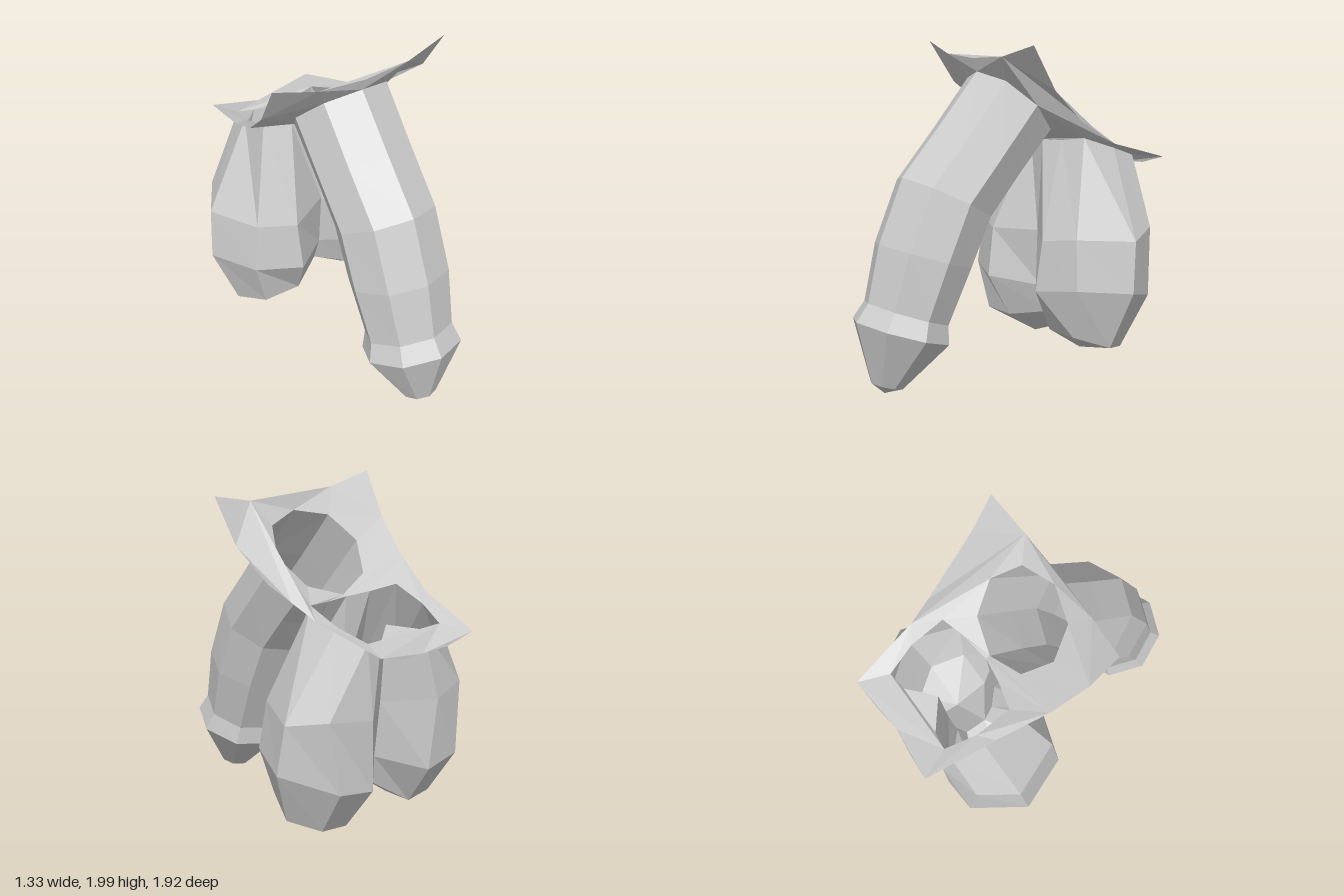
import * as THREE from 'three';

const V = (x, y, z) => new THREE.Vector3(x, y, z);
const material = new THREE.MeshStandardMaterial({ color: 0xcccccc, flatShading: true, side: THREE.DoubleSide });

// Piecewise linear lookup through [key, value] pairs with falling keys
function lerpTable(table, k) {
  let i = 0;
  while (i < table.length - 2 && k < table[i + 1][0]) i++;
  const [k0, v0] = table[i], [k1, v1] = table[i + 1];
  return v0 + ((k - k0) / (k1 - k0)) * (v1 - v0);
}

// Skin height: a centre line and a higher side line, blended across x
const centreLine = [[0.19, 1.9], [0.155, 1.81], [-0.06, 1.61], [-0.28, 1.41], [-0.4, 1.385], [-0.635, 1.32], [-0.925, 1.23]];
const sideLine = [[0.16, 2.0], [-0.01, 1.73], [-0.23, 1.55], [-0.53, 1.4], [-0.96, 1.29]];
const sideX = [[0.16, 0.57], [-0.23, 0.5], [-0.53, 0.42], [-0.96, 0.345]];
function skinHeight(x, z) {
  const t = (x / lerpTable(sideX, z)) ** 2;
  return lerpTable(centreLine, z) * (1 - t) + lerpTable(sideLine, z) * t;
}

// Half a ring (front to back on +x) closed by its mirror image
const mirrorRing = half => [...half, ...half.slice(1, -1).reverse().map(p => V(-p.x, p.y, p.z))];

// Triangles joining successive closed rings, top to bottom
function loft(rings) {
  const tris = [];
  for (let r = 0; r < rings.length - 1; r++) {
    const a = rings[r], b = rings[r + 1], n = a.length;
    for (let j = 0; j < n; j++) {
      const k = (j + 1) % n;
      tris.push(a[j], b[j], b[k], a[j], b[k], a[k]);
    }
  }
  return tris;
}

// Triangles closing a polygon to one point
const fan = (ring, apex) => ring.flatMap((p, j) => [p, apex, ring[(j + 1) % ring.length]]);

function meshFrom(name, tris) {
  const geometry = new THREE.BufferGeometry().setFromPoints(tris);
  geometry.computeVertexNormals();
  const mesh = new THREE.Mesh(geometry, material);
  mesh.name = name;
  return mesh;
}

// Eight-sided ring from its front and back points (z, y) and half width
function octagon([fz, fy, bz, by, rx]) {
  return Array.from({ length: 8 }, (_, i) => {
    const a = (i * Math.PI) / 4, c = Math.cos(a);
    return V(rx * Math.sin(a), (fy + by) / 2 + (c * (fy - by)) / 2, (fz + bz) / 2 + (c * (fz - bz)) / 2);
  });
}

export function createModel() {
  const model = new THREE.Group();
  model.name = 'anatomicalModel';

  // Shaft: curved octagonal tube with a flared, tapering end
  const shaftRings = [
    [0.16, 1.81, -0.28, 1.41, 0.3],
    [0.41, 1.525, -0.05, 1.17, 0.3],
    [0.657, 1.24, 0.12, 0.965, 0.3],
    [0.81, 0.87, 0.25, 0.69, 0.3],
    [0.885, 0.54, 0.4, 0.37, 0.265],
    [0.96, 0.44, 0.4, 0.26, 0.3],
    [0.87, 0.07, 0.68, 0.02, 0.1],
  ].map(octagon);
  shaftRings[0].forEach(p => { p.y = skinHeight(p.x, p.z); });
  model.add(meshFrom('shaft', loft(shaftRings.slice(0, 6))));
  model.add(meshFrom('shaftTip', [...loft(shaftRings.slice(5)), ...fan(shaftRings[6], V(0, 0, 0.79))]));

  // Sac: two lobes joined by a cleft, each half ring running front to back
  const sacTop = [[0, -0.305], [0.16, -0.33], [0.325, -0.375], [0.325, -0.595], [0.27, -0.78], [0.16, -0.765], [0, -0.635]]
    .map(([x, z]) => V(x, skinHeight(x, z), z));
  const sacHalves = [
    [[0, 0.85, -0.27], [0.27, 0.84, -0.12], [0.5, 0.87, -0.2], [0.635, 0.85, -0.525], [0.5, 0.9, -0.74], [0.25, 0.87, -0.81], [0, 0.85, -0.6]],
    [[0, 0.5, -0.3], [0.26, 0.54, -0.08], [0.54, 0.58, -0.175], [0.665, 0.55, -0.49], [0.45, 0.47, -0.775], [0.22, 0.43, -0.785], [0, 0.5, -0.56]],
    [[0, 0.33, -0.36], [0.22, 0.285, -0.21], [0.46, 0.285, -0.21], [0.54, 0.21, -0.42], [0.42, 0.17, -0.59], [0.25, 0.155, -0.6], [0, 0.33, -0.5]],
  ].map(half => half.map(p => V(...p)));
  const sacRings = [sacTop, ...sacHalves].map(mirrorRing);
  const low = sacRings[3];
  model.add(meshFrom('sac', [
    ...loft(sacRings),
    ...fan(low.slice(0, 7), V(0.24, 0.15, -0.42)),
    ...fan([...low.slice(6), low[0]], V(-0.24, 0.15, -0.42)),
  ]));

  // Skin: thin curved sheet with openings into the shaft and the sac
  const flat = points => points.map(p => new THREE.Vector2(p.x, -p.z));
  const outline = mirrorRing([
    [0, 0.19], [0.3, 0.18], [0.57, 0.15], [0.55, -0.01], [0.5, -0.23], [0.46, -0.38],
    [0.42, -0.53], [0.385, -0.74], [0.345, -0.96], [0.17, -0.945], [0, -0.925],
  ].map(([x, z]) => V(x, 0, z)));
  const sheet = new THREE.Shape(flat(outline));
  sheet.holes.push(new THREE.Path(flat(shaftRings[0])), new THREE.Path(flat(sacRings[0])));
  const skinGeometry = new THREE.ShapeGeometry(sheet);
  const pos = skinGeometry.attributes.position;
  for (let i = 0; i < pos.count; i++) {
    const x = pos.getX(i), z = -pos.getY(i);
    pos.setXYZ(i, x, skinHeight(x, z), z);
  }
  skinGeometry.computeVertexNormals();
  const skin = new THREE.Mesh(skinGeometry, material);
  skin.name = 'skin';
  model.add(skin);

  return model;
}
